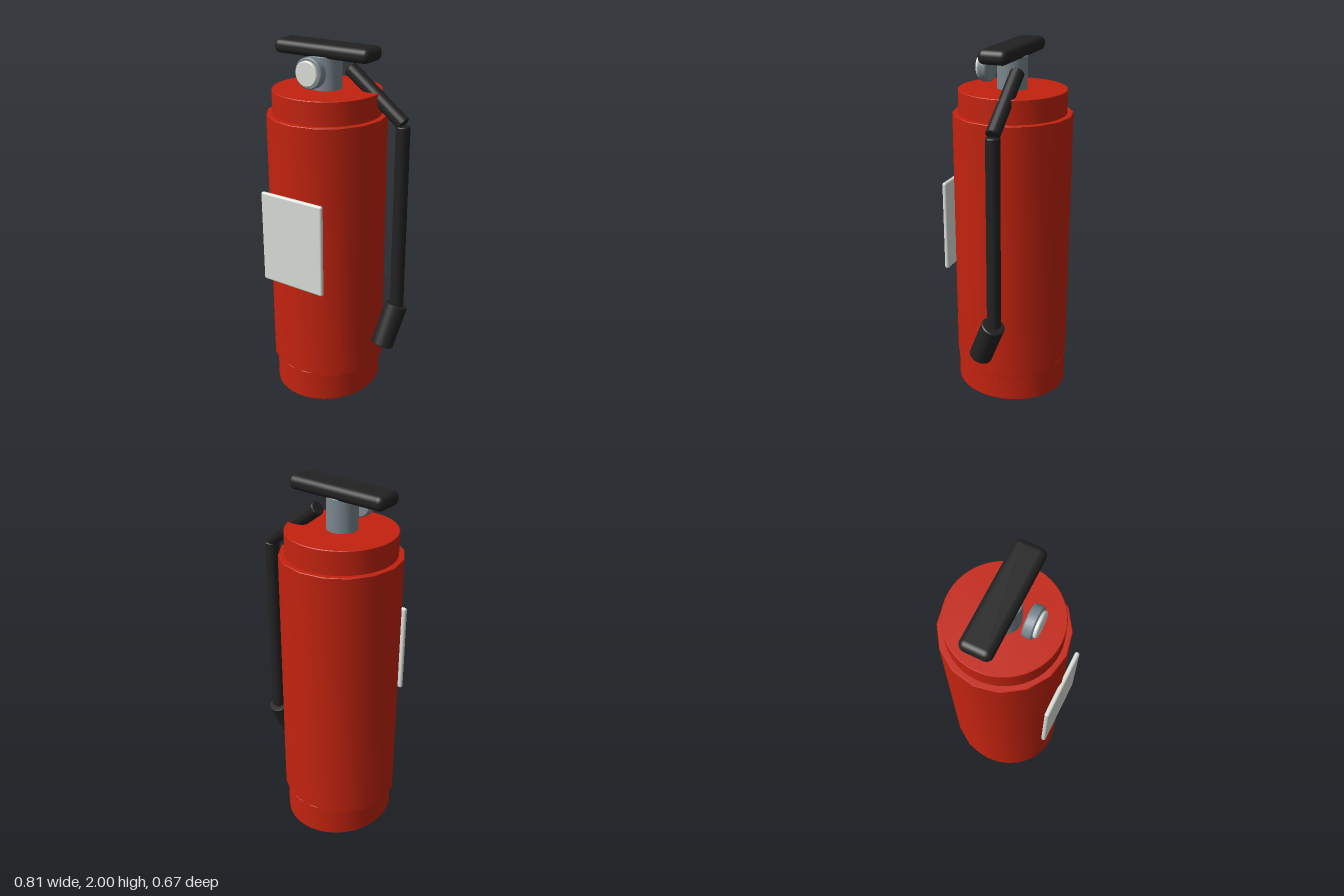
import * as THREE from 'three';
import { toCreasedNormals } from 'three/addons/utils/BufferGeometryUtils.js';
import { RoundedBoxGeometry } from 'three/addons/geometries/RoundedBoxGeometry.js';

const V = (x, y, z) => new THREE.Vector3(x, y, z);

function material(name, color) {
  const m = new THREE.MeshStandardMaterial({ color });
  m.name = name;
  return m;
}

export function createModel() {
  const red = material('red', 0xc4230f);
  const black = material('black', 0x222222);
  const steel = material('steel', 0x7a8890);
  const white = material('offWhite', 0xdcdfd9);

  const group = new THREE.Group();
  group.name = 'fireExtinguisher';
  const CX = -0.081, CZ = -0.01;

  function add(name, geometry, mat, x, y, z) {
    const mesh = new THREE.Mesh(geometry, mat);
    mesh.name = name;
    mesh.position.set(x, y, z);
    group.add(mesh);
    return mesh;
  }

  // Solid cylinder with a small bevel, running between two points
  function rod(name, a, b, radius, mat, sides = 32, bevel = 0.005) {
    const h = a.distanceTo(b) / 2;
    const profile = [
      [0, -h], [radius - bevel, -h], [radius, -h + bevel],
      [radius, h - bevel], [radius - bevel, h], [0, h],
    ].map(([r, y]) => new THREE.Vector2(r, y));
    const geometry = toCreasedNormals(new THREE.LatheGeometry(profile, sides), 0.5);
    const mid = a.clone().add(b).multiplyScalar(0.5);
    const mesh = add(name, geometry, mat, mid.x, mid.y, mid.z);
    mesh.quaternion.setFromUnitVectors(V(0, 1, 0), b.clone().sub(a).normalize());
    return mesh;
  }

  // Tank: oval foot, sixteen-sided body, round shoulder
  const foot = rod('foot', V(CX, 0, CZ), V(CX, 0.18, CZ), 0.297, red, 48, 0.003);
  foot.scale.z = 1.085;
  rod('tankBody', V(CX, 0.165, CZ), V(CX, 1.635, CZ), 0.325, red, 16, 0.003);
  rod('shoulder', V(CX, 1.62, CZ), V(CX, 1.762, CZ), 0.292, red, 48, 0.003);

  // Valve neck and handle
  rod('neck', V(CX, 1.74, -0.006), V(CX, 1.935, -0.006), 0.081, steel, 32, 0.003);
  add('handle', new RoundedBoxGeometry(0.585, 0.076, 0.162, 5, 0.034), black, CX, 1.962, CZ);

  // Pressure gauge
  rod('gaugeCase', V(CX, 1.866, 0.112), V(CX, 1.866, 0.162), 0.081, steel, 32, 0.006);
  rod('gaugeFace', V(CX, 1.866, 0.155), V(CX, 1.866, 0.179), 0.066, white, 32, 0.005);

  // Front label plate
  add('label', new RoundedBoxGeometry(0.39, 0.52, 0.026, 4, 0.012), white, -0.084, 0.985, 0.321);

  // Hose and nozzle
  rod('upperHose', V(0.02, 1.866, -0.075), V(0.347, 1.617, -0.075), 0.038, black, 24);
  rod('lowerHose', V(0.343, 0.555, -0.075), V(0.343, 1.607, -0.075), 0.038, black, 24);
  rod('nozzle', V(0.308, 0.333, 0.022), V(0.343, 0.56, -0.072), 0.065, black, 24);

  return group;
}
